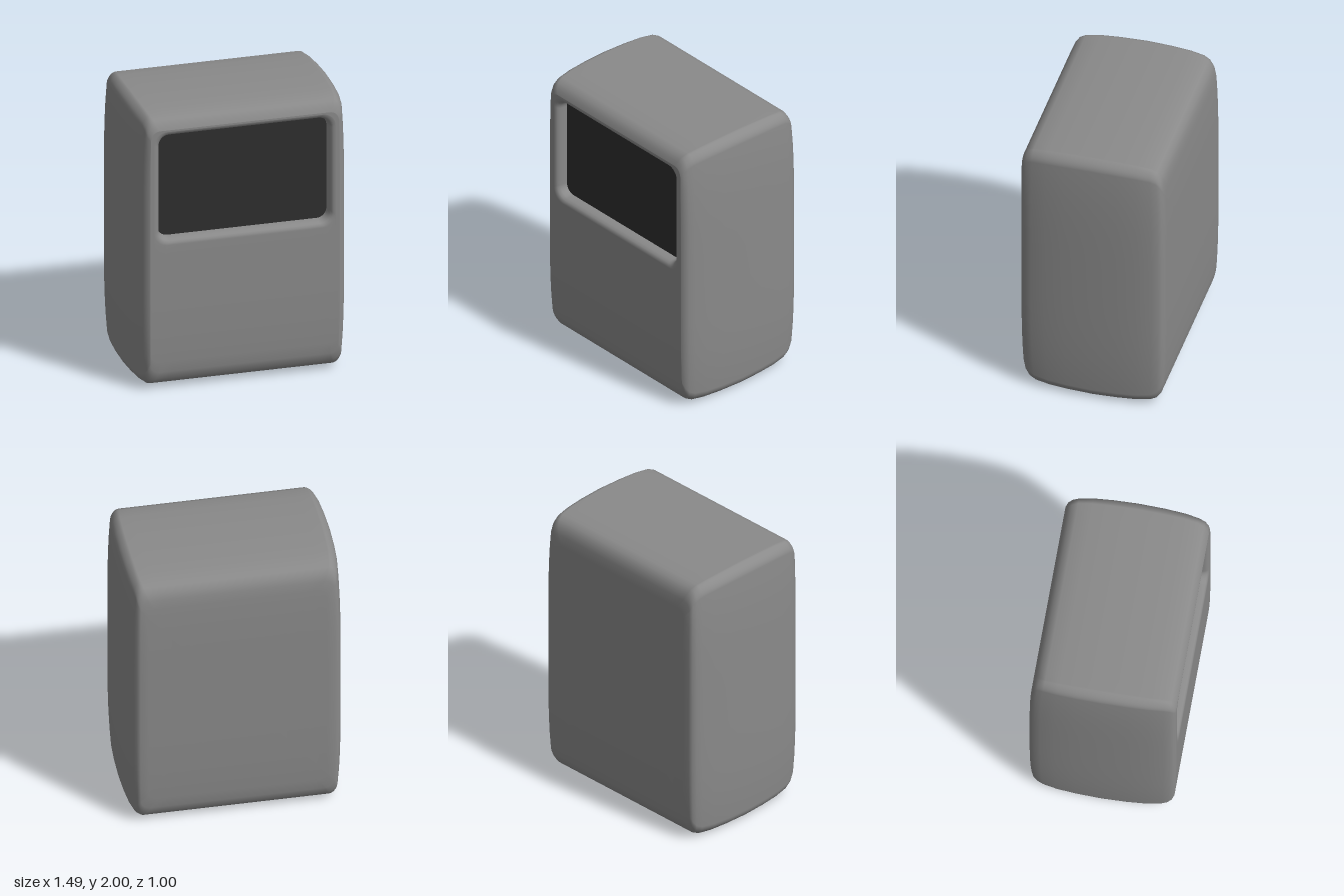
import * as THREE from 'three';

const ARC = 8, SIDE = 14;

// Rounded-rectangle loop, anticlockwise seen from the front
function loop([hw, y0, y1, r, z]) {
  const cy = (y0 + y1) / 2, hh = (y1 - y0) / 2;
  const signs = [[1, -1], [1, 1], [-1, 1], [-1, -1]];
  const corners = signs.map(([sx, sy], c) => {
    const pts = [];
    for (let i = 0; i <= ARC; i++) {
      const a = (c - 1 + i / ARC) * Math.PI / 2;
      pts.push(new THREE.Vector3(sx * (hw - r) + r * Math.cos(a), cy + sy * (hh - r) + r * Math.sin(a), z));
    }
    return pts;
  });
  const out = [];
  corners.forEach((pts, c) => {
    out.push(...pts);
    const next = corners[(c + 1) % 4][0];
    for (let i = 1; i < SIDE; i++) out.push(pts[ARC].clone().lerp(next, i / SIDE));
  });
  return out;
}

// Pillow the walls: sides and faces pull in towards top and bottom
function pillow(p) {
  const t = Math.abs(p.y - 1);
  p.x *= 1 - 0.038 * t ** 4 * THREE.MathUtils.smoothstep(Math.abs(p.x), 0.62, 0.72);
  const flatFront = p.z > 0 && p.y > 1;
  if (!flatFront) p.z *= 1 - 0.06 * t ** 4;
  return p;
}

function loft(stations) {
  const loops = stations.map(s => loop(s).map(pillow));
  const n = loops[0].length, index = [];
  for (let i = 0; i < loops.length - 1; i++) {
    for (let j = 0; j < n; j++) {
      const k = (j + 1) % n;
      const a = i * n + j, b = i * n + k, c = b + n, d = a + n;
      index.push(a, d, b, b, d, c);
    }
  }
  const geo = new THREE.BufferGeometry().setFromPoints(loops.flat());
  geo.setIndex(index);
  geo.computeVertexNormals();
  return geo;
}

// Stations between two loops, excluding the first
function blend(a, b, steps) {
  return Array.from({ length: steps }, (_, i) => a.map((v, k) => THREE.MathUtils.lerp(v, b[k], (i + 1) / steps)));
}

export function createModel() {
  const group = new THREE.Group();
  const grey = new THREE.MeshStandardMaterial({ color: 0x8a8a8a });
  const dark = new THREE.MeshStandardMaterial({ color: 0x2e2e2e });

  // Each station: half width, bottom, top, corner radius, z
  const opening = [
    [0.592, 1.1, 1.84, 0.07, 0.4],
    [0.594, 1.098, 1.842, 0.07, 0.44],
    [0.599, 1.093, 1.847, 0.075, 0.47],
    [0.608, 1.083, 1.856, 0.08, 0.488],
    [0.62, 1.07, 1.866, 0.085, 0.497],
    [0.634, 1.055, 1.877, 0.09, 0.5],
  ];
  const half = [
    [0.665, 0.13, 1.89, 0.07, 0.5],
    [0.69, 0.08, 1.922, 0.075, 0.487],
    [0.705, 0.044, 1.956, 0.075, 0.462],
    [0.718, 0.024, 1.976, 0.075, 0.42],
    [0.733, 0.011, 1.989, 0.075, 0.32],
    [0.742, 0.004, 1.996, 0.075, 0.18],
  ];
  const middle = [0.746, 0, 2, 0.075, 0];
  const rear = half.map(([hw, y0, , r, z]) => [hw, y0, 2 - y0, r, -z]).reverse();

  const body = new THREE.Mesh(loft([
    ...opening,
    ...blend(opening[5], half[0], 12),
    ...half.slice(1),
    middle,
    ...rear,
    ...blend(rear[5], [0, 1, 1, 0, -0.5], 12),
  ]), grey);
  body.name = 'body';
  group.add(body);

  // Dark panel seated inside the opening
  const outline = new THREE.Shape(loop([0.597, 1.095, 1.845, 0.07, 0]).map(p => new THREE.Vector2(p.x, p.y)));
  const screen = new THREE.Mesh(new THREE.ShapeGeometry(outline), dark);
  screen.position.z = 0.42;
  screen.name = 'screen';
  group.add(screen);

  return group;
}
